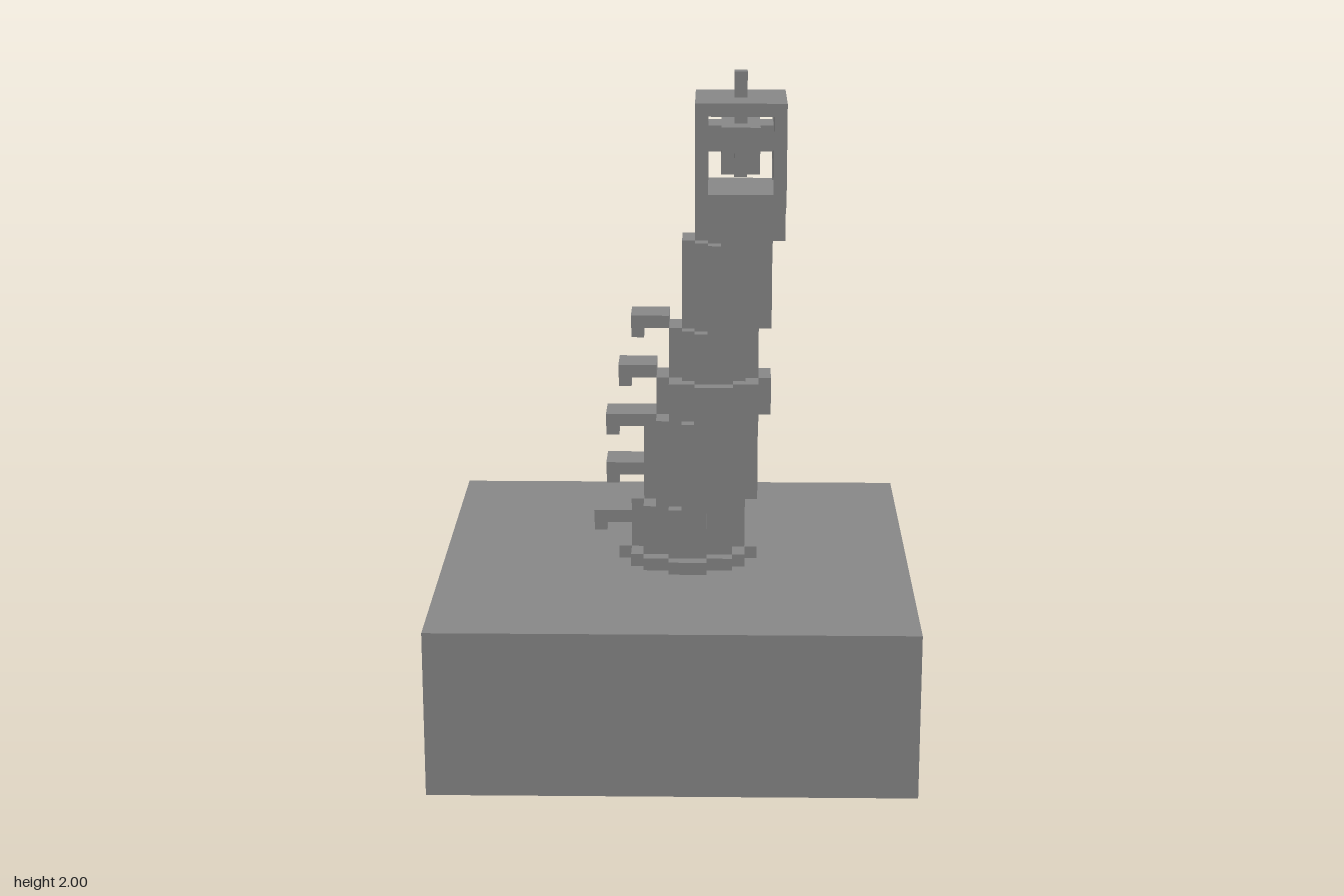
import * as THREE from 'three';

const U = 1 / 26; // edge of one block

export function createModel() {
  const group = new THREE.Group();
  const stone = new THREE.MeshStandardMaterial({ color: 0x888888 });
  stone.name = 'grey stone';

  const add = (name, geometry) => {
    const mesh = new THREE.Mesh(geometry, stone);
    mesh.name = name;
    group.add(mesh);
    return mesh;
  };

  // Box given by its limits in blocks
  const box = (name, x0, x1, y0, y1, z0, z1) => {
    const mesh = add(name, new THREE.BoxGeometry((x1 - x0) * U, (y1 - y0) * U, (z1 - z0) * U));
    mesh.position.set((x0 + x1) / 2 * U, (y0 + y1) / 2 * U, (z0 + z1) / 2 * U);
  };

  // Round drum with a stepped, blocky outline
  const drum = (name, radius, cx, y0, y1) => {
    const half = j => Math.floor(Math.sqrt((radius + 0.25) ** 2 - j * j)) + 0.5;
    const quarter = [];
    for (let j = 0; j <= radius; j++) {
      if (j === 0 || half(j) !== half(j - 1)) {
        if (j > 0) quarter.push([half(j - 1), j - 0.5], [half(j), j - 0.5]);
      }
    }
    quarter.push([half(radius), radius + 0.5]);
    const points = [];
    for (let q = 0; q < 4; q++) {
      for (let [x, y] of quarter) {
        for (let n = 0; n < q; n++) [x, y] = [-y, x];
        points.push(new THREE.Vector2(x * U, y * U));
      }
    }
    const geometry = new THREE.ExtrudeGeometry(new THREE.Shape(points), {
      depth: (y1 - y0) * U, bevelEnabled: false,
    });
    geometry.rotateX(-Math.PI / 2);
    add(name, geometry).position.set(cx * U, y0 * U, 0);
  };

  // Ground block
  box('ground', -18.5, 18.5, 0, 13, -18.5, 18.5);

  // Leaning tower: radius, centre x, bottom, top
  drum('footing', 5, 1, 13, 14);
  [
    [4, 1, 13, 18], [4, 2, 18, 25], [4, 3, 25, 28],
    [3, 3, 28, 32], [3, 4, 32, 39], [3, 5, 39, 42],
  ].forEach((s, i) => drum('towerSection' + (i + 1), ...s));

  // Lantern room: floor, corner posts, roof and spire
  box('belfryFloor', 1.5, 8.5, 42, 43, -3.5, 3.5);
  for (const x of [1.5, 7.5]) {
    for (const z of [-3.5, 2.5]) box('belfryPost', x, x + 1, 43, 49, z, z + 1);
  }
  box('belfryRoof', 1.5, 8.5, 49, 50, -3.5, 3.5);
  box('spire', 4.5, 5.5, 50, 52, -0.5, 0.5);

  // Hanging bell
  box('bellHanger', 4.5, 5.5, 48, 49, -0.5, 0.5);
  drum('bellUpper', 2, 5, 46, 48);
  drum('bellLower', 1, 5, 44, 46);

  // Ledges climbing the side, each with a small bracket below
  [[-6.5, 16], [-5.5, 20], [-5.5, 24], [-4.5, 28], [-3.5, 32]].forEach(([x, y]) => {
    box('ledge', x, x + 3, y, y + 1, -1.5, 1.5);
    box('ledgeBracket', x, x + 1, y - 1, y, -0.5, 0.5);
  });

  return group;
}
